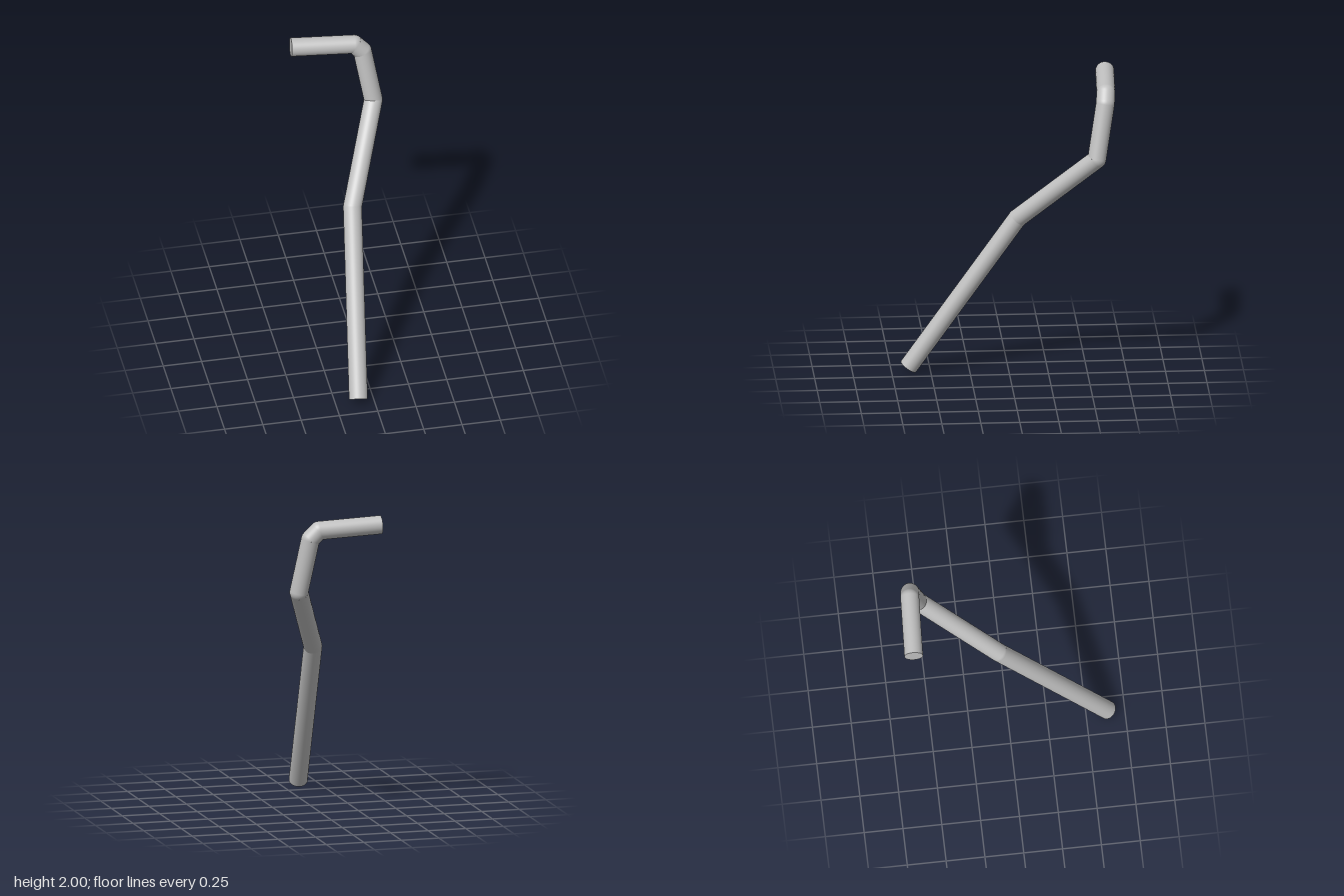
import * as THREE from 'three';

export function createModel() {
  const group = new THREE.Group();
  group.name = 'bentRod';
  const grey = new THREE.MeshStandardMaterial({ color: 0xc0c0c0 });
  grey.name = 'light grey';
  const radius = 0.06;

  // Centre line of the rod, from the foot to the handle end
  const path = [
    [-0.105, 0.036, 0.641],
    [-0.005, 1.05, -0.05],
    [0.23, 1.512, -0.545],
    [0.17, 1.865, -0.603],
    [0.117, 1.92, -0.61],
    [-0.292, 1.94, -0.63],
  ].map((p) => new THREE.Vector3(...p));
  const names = ['lowerShaft', 'middleShaft', 'upperShaft', 'elbow', 'handle'];
  const up = new THREE.Vector3(0, 1, 0);

  names.forEach((name, i) => {
    // Straight length; its flat ends show only at the two tips
    const axis = path[i + 1].clone().sub(path[i]);
    const rod = new THREE.Mesh(new THREE.CylinderGeometry(radius, radius, axis.length(), 40), grey);
    rod.name = name;
    rod.position.copy(path[i]).addScaledVector(axis, 0.5);
    rod.quaternion.setFromUnitVectors(up, axis.normalize());
    group.add(rod);

    // Round joint at each bend
    if (i > 0) {
      const joint = new THREE.Mesh(new THREE.SphereGeometry(radius, 40, 24), grey);
      joint.name = name + 'Joint';
      joint.position.copy(path[i]);
      joint.quaternion.copy(rod.quaternion);
      group.add(joint);
    }
  });
  return group;
}
